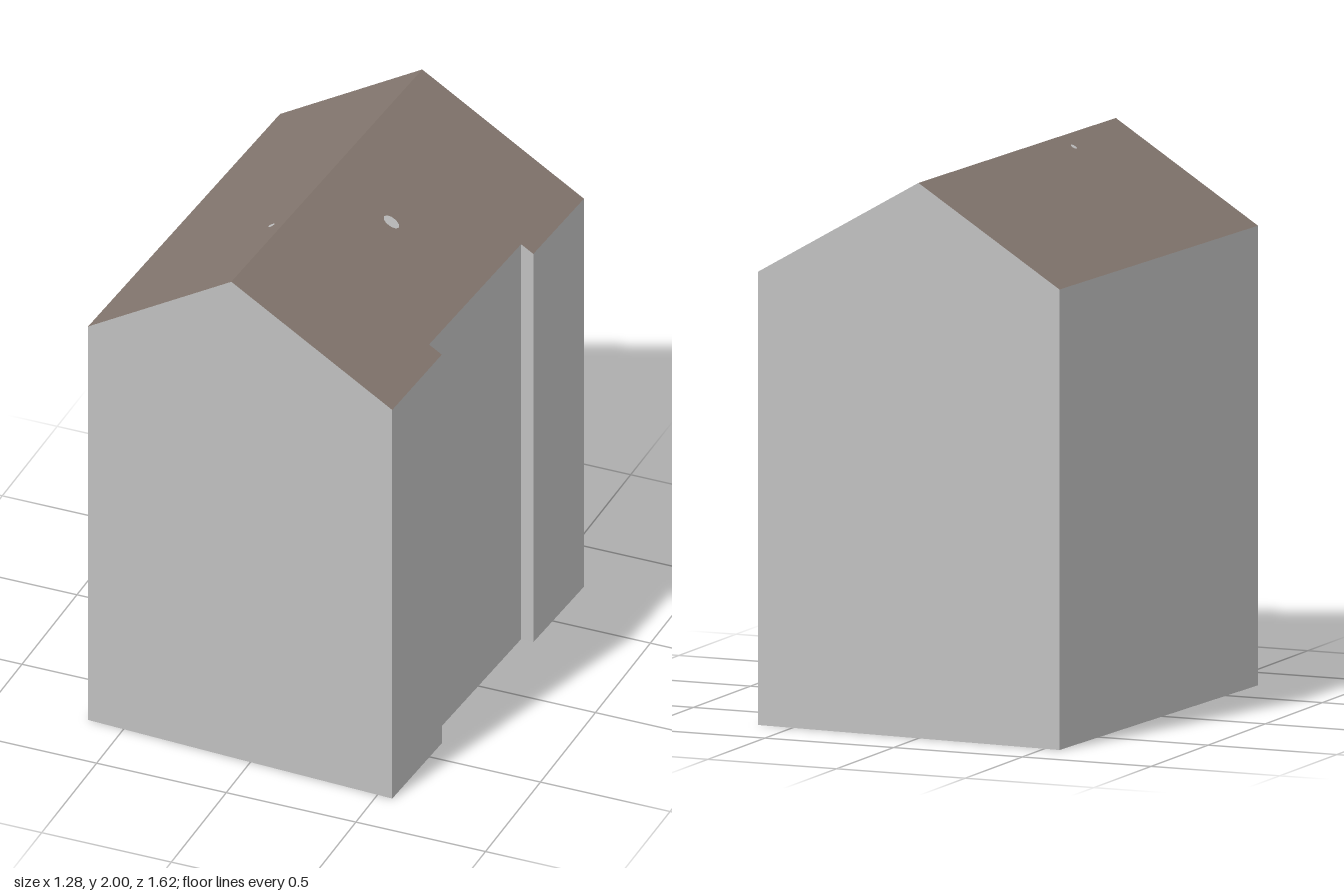
import * as THREE from 'three';

export function createModel() {
  const house = new THREE.Group();
  house.name = 'house';
  const wallGrey = new THREE.MeshStandardMaterial({ color: 0xc0c0c0 });
  wallGrey.name = 'wallGrey';
  const roofBrown = new THREE.MeshStandardMaterial({ color: 0x84776f });
  roofBrown.name = 'roofBrown';

  const add = (name, geometry, material) => {
    geometry.computeVertexNormals();
    const mesh = new THREE.Mesh(geometry, material);
    mesh.name = name;
    house.add(mesh);
  };

  // Footprint corners [x, z], clockwise from above, with a recess on the +x side
  const ridgeBack = [0, -0.783], ridgeFront = [-0.075, 0.777];
  const rightSide = [
    [0.637, -0.752], [0.615, -0.343], [0.567, -0.345],
    [0.527, 0.398], [0.577, 0.4], [0.558, 0.806],
  ];
  const leftSide = [[-0.64, 0.748], [-0.56, -0.81]];
  const outline = [ridgeBack, ...rightSide, ridgeFront, ...leftSide];

  // Height of the gabled roof above any point of the plan
  const roofY = (x, z) => {
    const t = (z - ridgeBack[1]) / (ridgeFront[1] - ridgeBack[1]);
    const d = x - THREE.MathUtils.lerp(ridgeBack[0], ridgeFront[0], t);
    return 2 - (d > 0 ? 0.576 * d : -0.609 * d);
  };
  const drape = (geometry, lift = 0) => {
    const p = geometry.attributes.position;
    for (let i = 0; i < p.count; i++) p.setY(i, roofY(p.getX(i), p.getZ(i)) + lift);
    return geometry;
  };

  // Walls: one quad per footprint edge, rising to the roof
  const corners = [];
  outline.forEach(([ax, az], i) => {
    const [bx, bz] = outline[(i + 1) % outline.length];
    const a0 = [ax, 0, az], a1 = [ax, roofY(ax, az), az];
    const b0 = [bx, 0, bz], b1 = [bx, roofY(bx, bz), bz];
    corners.push(...b0, ...a0, ...a1, ...b0, ...a1, ...b1);
  });
  const walls = new THREE.BufferGeometry();
  walls.setAttribute('position', new THREE.Float32BufferAttribute(corners, 3));
  add('walls', walls, wallGrey);

  // Floor, facing down
  const plan = (points, sign) =>
    new THREE.ShapeGeometry(new THREE.Shape(points.map(([x, z]) => new THREE.Vector2(x, sign * z))));
  add('floor', plan(outline, 1).rotateX(Math.PI / 2), wallGrey);

  // Roof slopes
  const slope = (points) => drape(plan(points, -1).rotateX(-Math.PI / 2));
  add('leftRoofSlope', slope([ridgeBack, ...rightSide, ridgeFront]), roofBrown);
  add('rightRoofSlope', slope([ridgeFront, ...leftSide, ridgeBack]), roofBrown);

  // Small pale patches lying on the slopes
  for (const [name, x, z, rx, rz] of [
    ['leftRoofPatch', 0.208, -0.012, 0.029, 0.024],
    ['rightRoofPatch', -0.11, 0.33, 0.011, 0.012],
  ]) {
    const patch = new THREE.CircleGeometry(1, 10).rotateX(-Math.PI / 2);
    add(name, drape(patch.scale(rx, 1, rz).translate(x, 0, z), 0.002), wallGrey);
  }
  return house;
}
